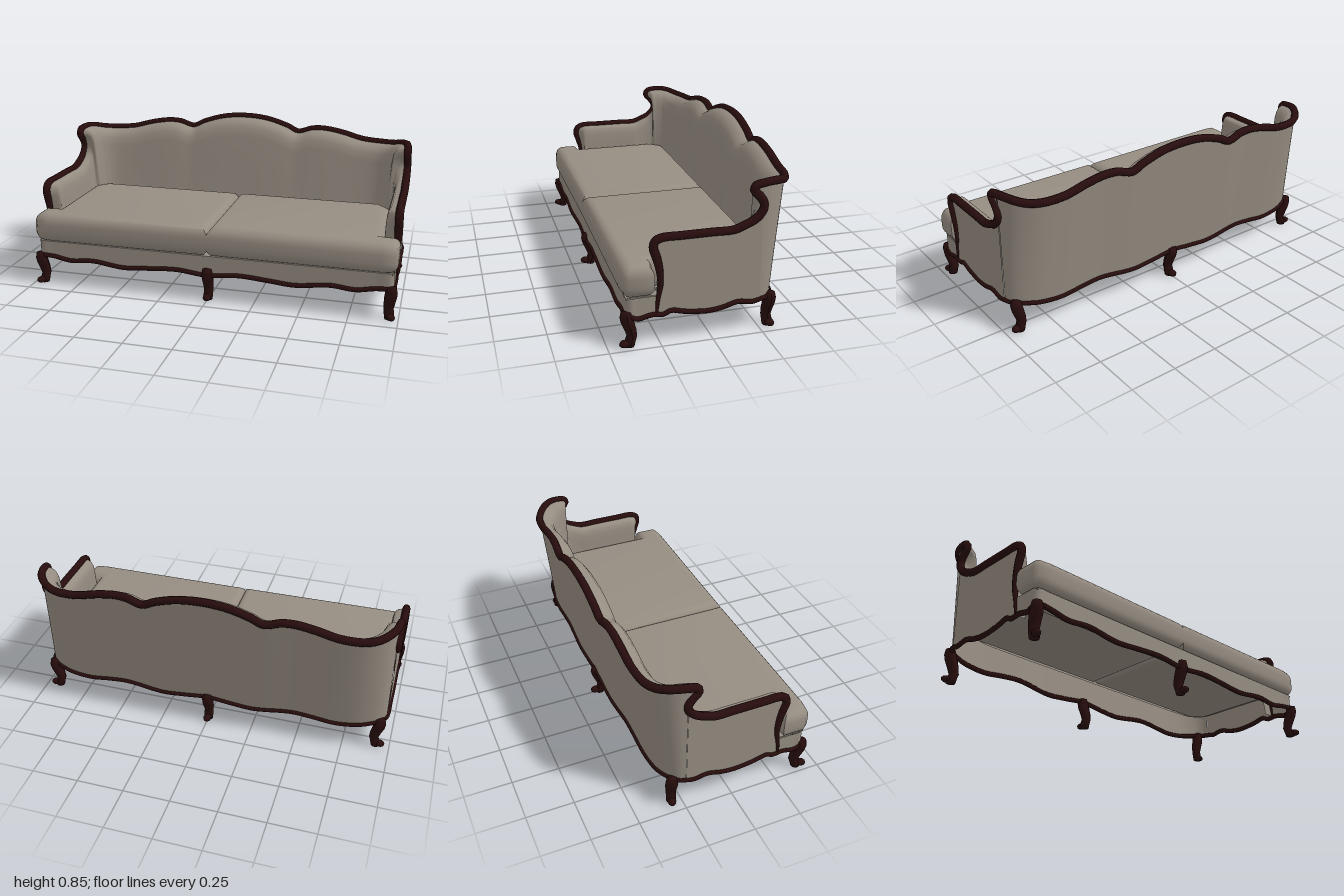
import * as THREE from 'three';
import { mergeVertices, toCreasedNormals } from 'three/addons/utils/BufferGeometryUtils.js';

const SIDE_X = 0.968;
const fabric = new THREE.MeshStandardMaterial({ color: 0x968d82, side: THREE.DoubleSide });
fabric.name = 'taupe upholstery';
const wood = new THREE.MeshStandardMaterial({ color: 0x280d0d, side: THREE.DoubleSide });
wood.name = 'dark mahogany';

const v2 = (x, y) => new THREE.Vector2(x, y);
const v3 = (x, y, z) => new THREE.Vector3(x, y, z);
const { lerp, clamp } = THREE.MathUtils;

// Half of the back rail, from the wing to the centre: x, y, z
const BACK = [
  [0.965, 0.748, -0.24], [0.955, 0.75, -0.285], [0.93, 0.743, -0.33], [0.885, 0.73, -0.37],
  [0.82, 0.725, -0.4], [0.7, 0.732, -0.415], [0.58, 0.762, -0.42], [0.48, 0.778, -0.422],
  [0.41, 0.776, -0.425], [0.32, 0.752, -0.428], [0.25, 0.782, -0.43], [0.13, 0.817, -0.432],
  [0, 0.828, -0.433],
].map((p) => v3(...p));

// Arm rail from the foot of the arm to the wing: z, y
const ARM = [
  [0.268, 0.16], [0.26, 0.24], [0.25, 0.3], [0.255, 0.38], [0.272, 0.45], [0.284, 0.49],
  [0.275, 0.52], [0.245, 0.534], [0.15, 0.535], [0, 0.535], [-0.1, 0.535], [-0.15, 0.552],
  [-0.2, 0.575], [-0.235, 0.61], [-0.243, 0.645], [-0.22, 0.685], [-0.19, 0.718], [-0.2, 0.74],
];

// Foot of the inner padding, one point below each rail point: x, z
const SEAT_EDGE = [
  [0.91, 0.262], [0.9, 0.258], [0.89, 0.25], [0.885, 0.245], [0.885, 0.24], [0.885, 0.235],
  [0.885, 0.23], [0.885, 0.22], [0.885, 0.15], [0.885, 0], [0.885, -0.09], [0.885, -0.13],
  [0.882, -0.165], [0.876, -0.19], [0.87, -0.205], [0.864, -0.215], [0.858, -0.222], [0.852, -0.226],
  [0.845, -0.23], [0.832, -0.238], [0.815, -0.247], [0.79, -0.257], [0.75, -0.262], [0.66, -0.265],
  [0.56, -0.266], [0.47, -0.267], [0.4, -0.267], [0.315, -0.267], [0.247, -0.267], [0.13, -0.267], [0, -0.267],
].map(([x, z]) => v3(x, 0.25, z));

// Wavy lower edge: front as x, y and side as z, y
const FRONT_TRIM = [[0, 0.14], [0.17, 0.155], [0.33, 0.145], [0.47, 0.135], [0.65, 0.155], [0.78, 0.145], [0.88, 0.162], [0.95, 0.165]];
const SIDE_TRIM = [[0.39, 0.155], [0.36, 0.142], [0.29, 0.155], [0.235, 0.15], [0.2, 0.165], [0.13, 0.15], [0.02, 0.138], [-0.05, 0.145], [-0.13, 0.165], [-0.2, 0.155]];
const backTrimY = (x) => 0.15 + 0.012 * Math.cos(13 * x);

// Mirrors a half path that ends on the centre line
function mirrorPath(half) {
  const other = half.slice(0, -1).reverse().map((p) => v3(-p.x, p.y, p.z));
  return [...half, ...other];
}

// Skin stretched over rows of points
function loft(rows) {
  const n = rows[0].length;
  const geo = new THREE.BufferGeometry().setFromPoints(rows.flat());
  const index = [];
  for (let i = 0; i < rows.length - 1; i++) {
    for (let j = 0; j < n - 1; j++) {
      const a = i * n + j, b = a + n;
      index.push(a, b, a + 1, b, b + 1, a + 1);
    }
  }
  geo.setIndex(index);
  geo.computeVertexNormals();
  return geo;
}

function addMesh(parent, name, geo, material) {
  const mesh = new THREE.Mesh(geo, material);
  mesh.name = name;
  parent.add(mesh);
  return mesh;
}

// Rail with a thickness that may vary along its path
function rail(points, radiusAt, segments, closed = false) {
  const curve = new THREE.CatmullRomCurve3(points, closed);
  const centres = curve.getSpacedPoints(segments);
  const geo = new THREE.TubeGeometry(curve, segments, 1, 8, closed);
  const pos = geo.attributes.position;
  for (let i = 0; i < pos.count; i++) {
    const c = centres[Math.floor(i / 9)];
    const p = v3(0, 0, 0).fromBufferAttribute(pos, i).sub(c).multiplyScalar(radiusAt(c)).add(c);
    pos.setXYZ(i, p.x, p.y, p.z);
  }
  return geo;
}

// Cabriole leg whose foot points along (dx, dz)
function addLeg(parent, name, x, z, dx, dz) {
  const leg = new THREE.Group();
  leg.name = name;
  const profile = [[0.182, 0.018, 0], [0.178, 0.018, 0.024], [0.15, 0.016, 0.031], [0.12, 0.008, 0.032],
    [0.085, -0.005, 0.029], [0.05, -0.014, 0.025], [0.025, -0.004, 0.026], [0, 0, 0.024], [0, 0, 0]];
  const rows = profile.map(([y, d, r]) => Array.from({ length: 11 }, (_, i) => {
    const a = (i / 10) * Math.PI * 2;
    return v3(dx * d + r * Math.cos(a), y, dz * d - r * Math.sin(a));
  }));
  addMesh(leg, 'legShaft', loft(rows), wood);
  const toe = addMesh(leg, 'scrollToe', new THREE.SphereGeometry(0.02, 10, 8), wood);
  toe.position.set(dx * 0.026, 0.018, dz * 0.026);
  toe.rotation.y = Math.atan2(dx, dz);
  toe.scale.set(1.1, 0.9, 1.4);
  leg.position.set(x, 0, z);
  parent.add(leg);
}

export function createModel() {
  const sofa = new THREE.Group();
  sofa.name = 'sofa';

  // Carved rail over both arms and the back, thinning down the arm fronts
  const armPoints = ARM.map(([z, y]) => v3(SIDE_X, y, z));
  const railPath = mirrorPath([...armPoints, ...BACK]);
  const railRadius = (c) => (c.z > 0.2 ? lerp(0.007, 0.021, clamp((c.y - 0.16) / 0.28, 0, 1)) : 0.021);
  addMesh(sofa, 'topRail', rail(railPath, railRadius, 320), wood);

  // Outer back shell, leaning back as it rises
  const backLine = new THREE.CatmullRomCurve3(mirrorPath(BACK)).getPoints(96);
  const lower = (p) => v3(p.x, backTrimY(p.x), -0.24 + (p.z + 0.24) * 0.62);
  const shellRows = [0, 0.33, 0.66, 1].map((t) => backLine.map((p) => p.clone().lerp(lower(p), t)));
  addMesh(sofa, 'backShell', loft(shellRows), fabric);

  // Inner padding of arms, wings and back: drop below the rail, share of inward offset
  const topLine = new THREE.CatmullRomCurve3(railPath).getPoints(300);
  const seatLine = new THREE.CatmullRomCurve3(mirrorPath(SEAT_EDGE)).getPoints(300);
  const padProfile = [[0, 0], [0.004, 0.22], [0.02, 0.42], [0.05, 0.55], [0.1, 0.62], [0.25, 0.74], [1, 1]];
  const padRows = padProfile.map(([drop, f]) => topLine.map((p, i) => {
    const fullness = lerp(0.4, 1, clamp((-0.1 - p.z) / 0.22, 0, 1));
    const point = p.clone().lerp(seatLine[i], f ** fullness);
    return point.setY(Math.max(p.y - drop, Math.min(p.y, 0.25)));
  }));
  addMesh(sofa, 'innerPadding', loft(padRows), fabric);

  // Arm side panels
  const armLine = new THREE.CatmullRomCurve3([...armPoints, BACK[0]]).getPoints(90).map((p) => v2(p.z, p.y));
  const trimLine = SIDE_TRIM.filter(([z]) => z < 0.26).reverse().map(([z, y]) => v2(z, y));
  const panelGeo = new THREE.ShapeGeometry(new THREE.Shape([...armLine, v2(-0.24, 0.162), ...trimLine]));
  panelGeo.rotateY(-Math.PI / 2).translate(SIDE_X, 0, 0);

  // Seat cushion that wraps in front of the arm
  const plan = [[-0.003, 0.43], [0.9, 0.435], [0.965, 0.425], [0.985, 0.4], [0.985, 0.28], [0.9, 0.272],
    [0.9, -0.2], [0.83, -0.275], [-0.003, -0.275]];
  let cushionGeo = new THREE.ExtrudeGeometry(new THREE.Shape(plan.map(([x, z]) => v2(x, -z))), {
    depth: 0.046, bevelThickness: 0.058, bevelSize: 0.05, bevelOffset: -0.05, bevelSegments: 5,
  });
  cushionGeo.rotateX(-Math.PI / 2).translate(0, 0.302, 0);
  cushionGeo.deleteAttribute('uv');
  cushionGeo.deleteAttribute('normal');
  cushionGeo = toCreasedNormals(mergeVertices(cushionGeo, 1e-4), 0.8);

  for (const [side, s] of [['left', 1], ['right', -1]]) {
    addMesh(sofa, side + 'ArmPanel', panelGeo, fabric).scale.x = s;
    addMesh(sofa, side + 'SeatCushion', cushionGeo, fabric).scale.x = s;
  }

  // Lower wooden trim all the way round
  const frontHalf = FRONT_TRIM.map(([x, y]) => v3(x, y, 0.412));
  const sideHalf = SIDE_TRIM.map(([z, y]) => v3(SIDE_X, y, z));
  const trimHalf = [...frontHalf, ...sideHalf, ...BACK.map(lower)];
  const trimLoop = [...trimHalf, ...trimHalf.slice(1, -1).reverse().map((p) => v3(-p.x, p.y, p.z))];
  addMesh(sofa, 'lowerTrim', rail(trimLoop, () => 0.013, 300, true), wood);

  // Front apron, returning to the arm fronts, with a ledge below the cushions
  const apronHalf = [...sideHalf.filter((p) => p.z > 0.23).reverse(), ...frontHalf.slice().reverse()];
  const apronLine = new THREE.CatmullRomCurve3(mirrorPath(apronHalf)).getPoints(120);
  addMesh(sofa, 'frontApron', loft([apronLine, apronLine.map((p) => v3(p.x, 0.248, p.z))]), fabric);
  const ledge = addMesh(sofa, 'seatLedge', new THREE.BoxGeometry(1.92, 0.008, 0.16), fabric);
  ledge.position.set(0, 0.244, 0.331);

  // Six legs
  for (const [side, s] of [['left', 1], ['right', -1]]) {
    addLeg(sofa, side + 'FrontLeg', s * 0.953, 0.395, s * 0.35, 0.94);
    addLeg(sofa, side + 'BackLeg', s * 0.925, -0.3, s * 0.85, -0.2);
  }
  addLeg(sofa, 'centreFrontLeg', 0, 0.395, 0, 1);
  addLeg(sofa, 'centreBackLeg', 0, -0.342, 0, -1);

  return sofa;
}
